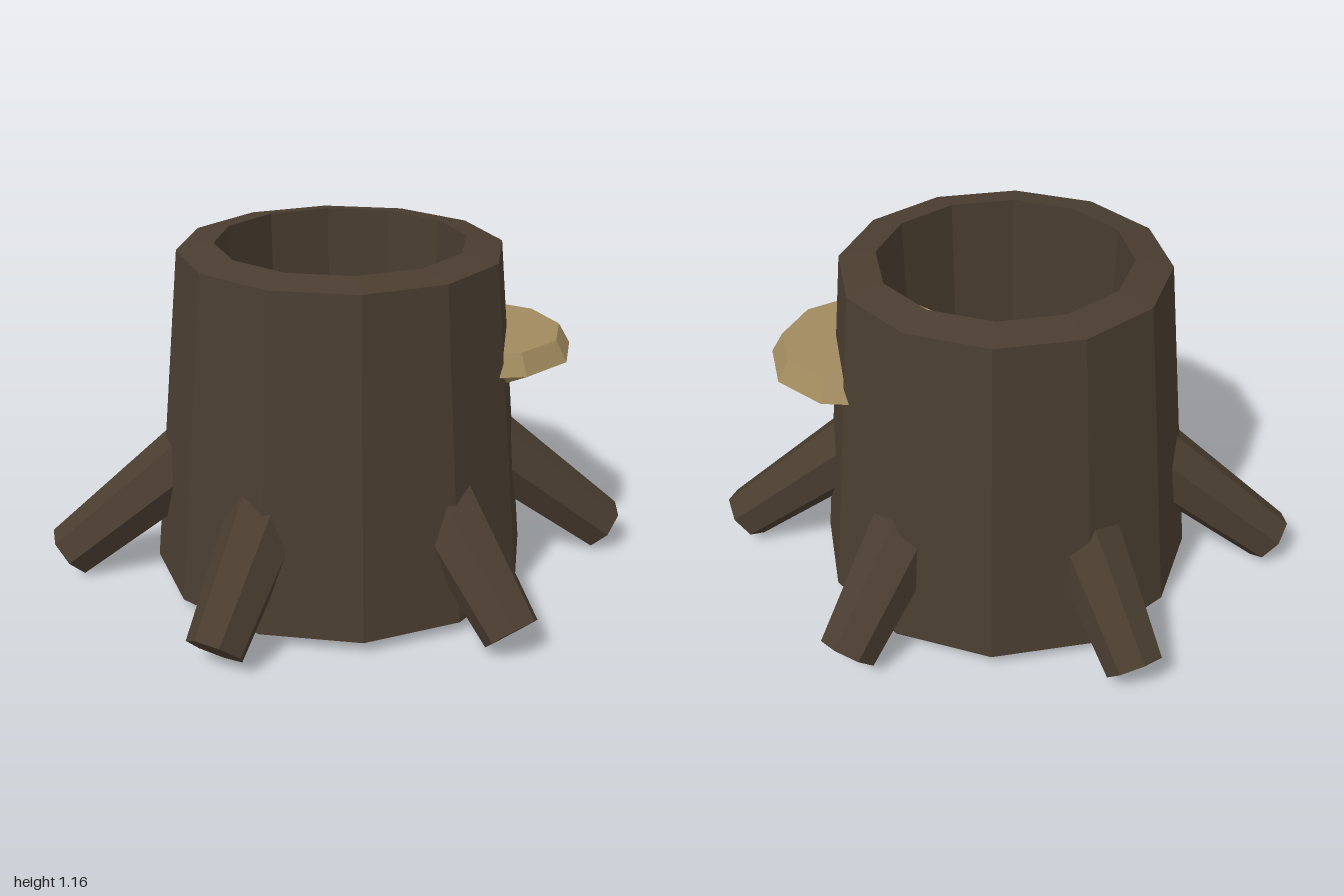
import * as THREE from 'three';

const paint = (color) => new THREE.MeshStandardMaterial({ color, flatShading: true });
const v2 = (list) => list.map(([r, y]) => new THREE.Vector2(r, y));

export function createModel() {
  const group = new THREE.Group();
  const bark = paint(0x4a3d30);
  const wood = paint(0x6b5a45);
  const fungus = paint(0xa08a5e);

  const add = (name, geometry, material) => {
    const mesh = new THREE.Mesh(geometry, material);
    mesh.name = name;
    group.add(mesh);
    return mesh;
  };

  // Hollow twelve-sided trunk: base, outer wall, sloped rim, inner wall
  const trunkProfile = [[0, 0.05], [0.64, 0.05], [0.53, 1.145], [0.41, 1.165], [0.39, 0.15]];
  add('trunk', new THREE.LatheGeometry(v2(trunkProfile), 12), bark);

  // Lighter wood floor inside the hollow
  const floor = add('hollowFloor', new THREE.CircleGeometry(0.395, 12), wood);
  floor.rotation.x = -Math.PI / 2;
  floor.position.y = 0.15;

  // Six tapering roots; the two side ones reach further out
  const up = new THREE.Vector3(0, 1, 0);
  const addRoot = (degrees, reach) => {
    const a = THREE.MathUtils.degToRad(degrees);
    const at = (r, y) => new THREE.Vector3(r * Math.cos(a), y, r * Math.sin(a));
    const top = at(0.37, 0.53);
    const foot = at(reach, 0.08);
    const axis = top.clone().sub(foot);
    const root = add('root', new THREE.CylinderGeometry(0.135, 0.095, axis.length(), 7), bark);
    root.position.copy(top).add(foot).multiplyScalar(0.5);
    root.quaternion.setFromUnitVectors(up, axis.normalize());
  };
  for (const degrees of [0, 180]) addRoot(degrees, 0.942);
  for (const degrees of [56, 124, 236, 304]) addRoot(degrees, 0.82);

  // Shelf fungus growing through the left wall
  const shelfProfile = [[0, 0.62], [0.11, 0.67], [0.32, 0.782], [0.28, 0.85], [0, 0.85]];
  const shelf = add('shelfFungus', new THREE.LatheGeometry(v2(shelfProfile), 10, Math.PI / 2), fungus);
  shelf.position.x = 0.46;

  return group;
}
